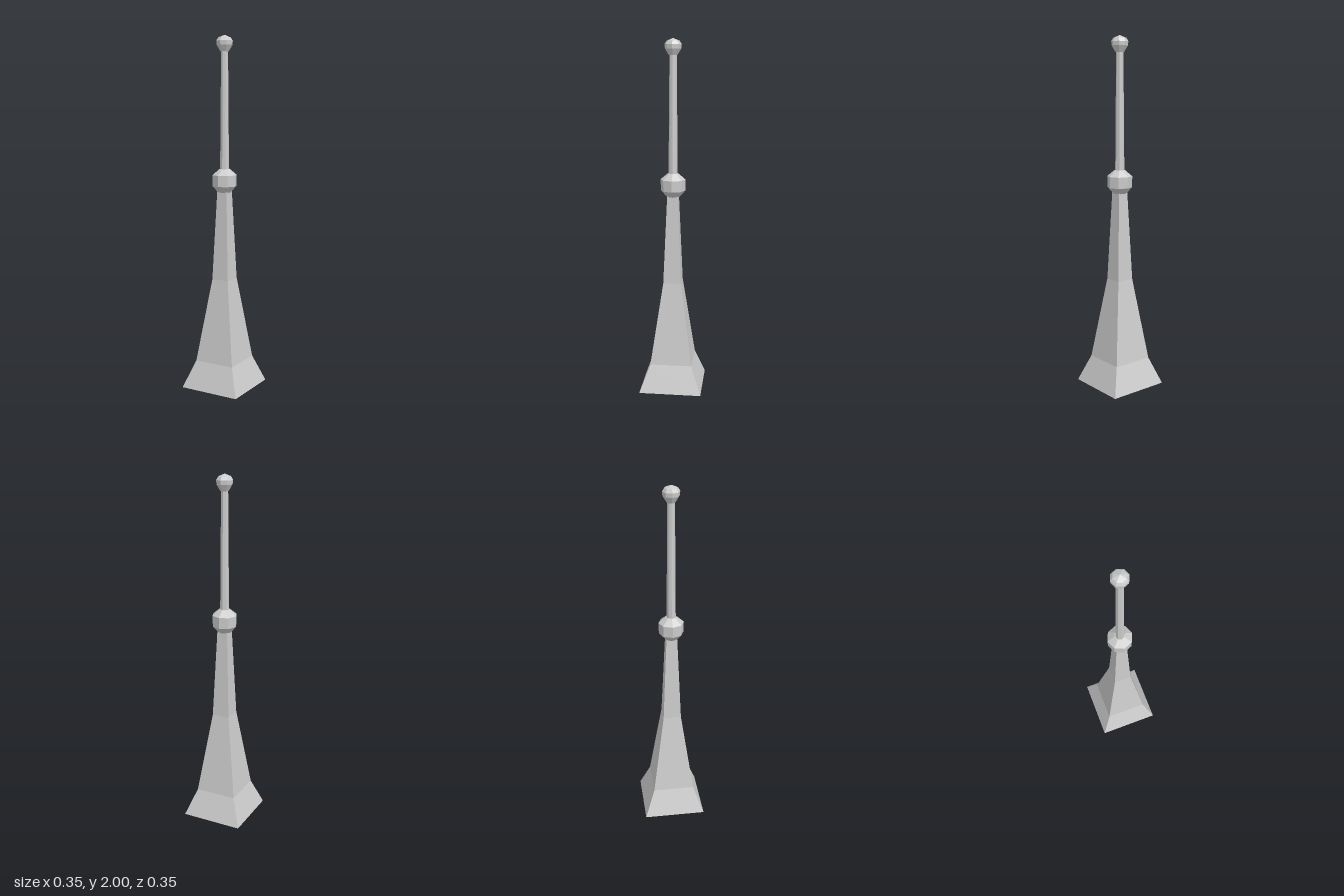
import * as THREE from 'three';

const material = new THREE.MeshStandardMaterial({ color: 0xcccccc, flatShading: true });

// Faceted solid turned from [radius, height] pairs, listed bottom to top
function turned(name, profile, sides, phase = 0) {
  const points = profile.map(([r, y]) => new THREE.Vector2(r, y));
  const mesh = new THREE.Mesh(new THREE.LatheGeometry(points, sides, phase), material);
  mesh.name = name;
  return mesh;
}

export function createModel() {
  const model = new THREE.Group();
  model.name = 'spire';

  // Square flared roof: half widths become corner radii
  const roof = [[0, 0], [0.177, 0], [0.119, 0.155], [0.051, 0.63], [0.03, 1.14], [0, 1.14]]
    .map(([half, y]) => [half * Math.SQRT2, y]);
  model.add(turned('flaredRoof', roof, 4, Math.PI / 4));

  // Octagonal collar where the roof meets the pole
  model.add(turned('collar',
    [[0, 1.13], [0.038, 1.13], [0.069, 1.165], [0.071, 1.228], [0.03, 1.262], [0, 1.262]], 8));

  // Slightly tapered pole
  model.add(turned('pole', [[0.026, 1.25], [0.02, 1.92]], 8));

  // Finial ball with a pointed cap
  model.add(turned('finial',
    [[0, 1.91], [0.024, 1.91], [0.045, 1.945], [0.047, 1.968], [0.036, 1.985], [0, 2]], 8));

  return model;
}
